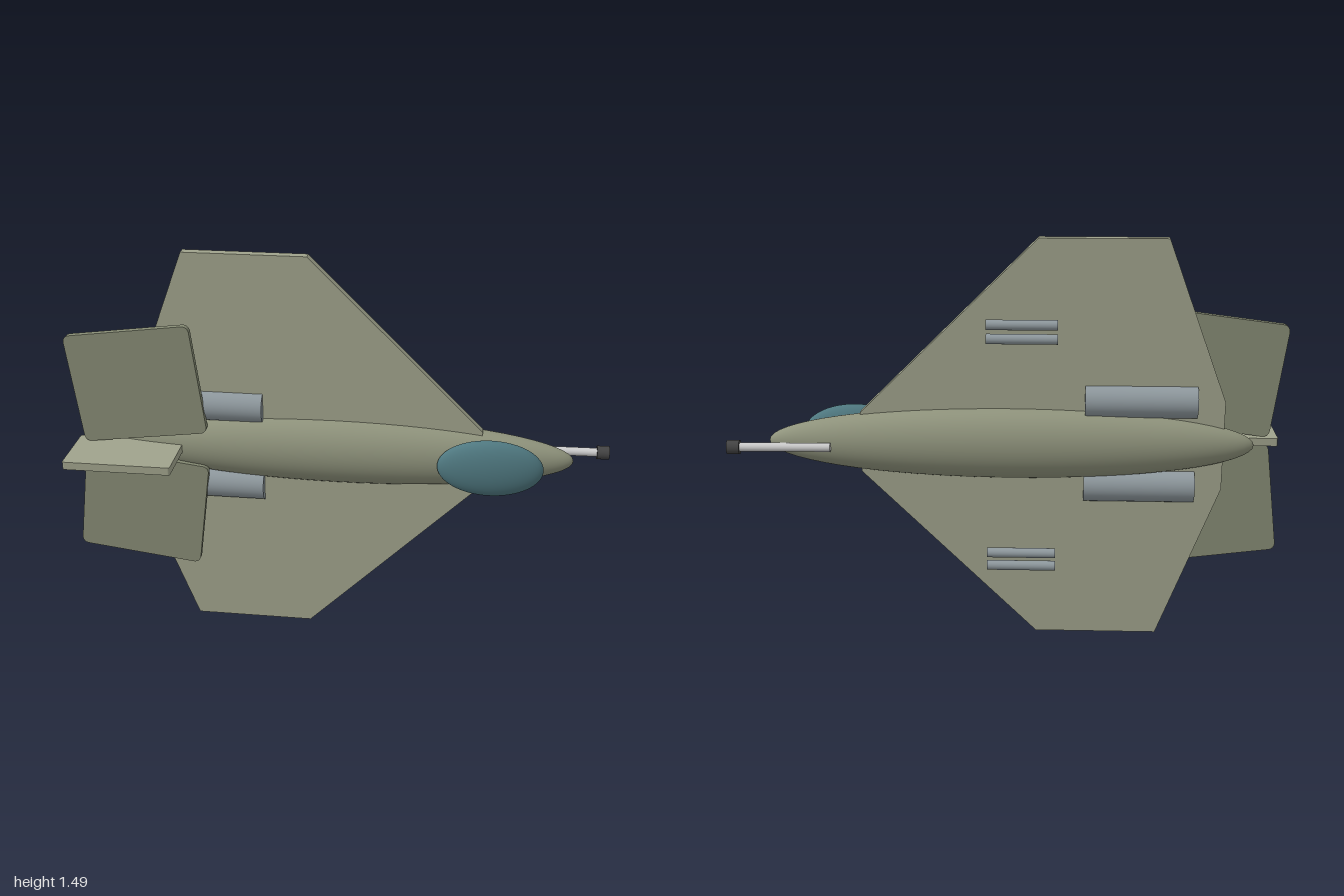
import * as THREE from 'three';

const MID = 0.75; // height of the aircraft's centre line
const paint = (color) => new THREE.MeshStandardMaterial({ color });
const body = paint(0x8f937c), wingPaint = paint(0xa0a38c), tailPaint = paint(0x868b74);
const glass = paint(0x4f7880), metal = paint(0x8f999e), steel = paint(0xcccccc), dark = paint(0x444444);

function part(name, geometry, material, x, y, z) {
  const mesh = new THREE.Mesh(geometry, material);
  mesh.name = name;
  mesh.position.set(x, y, z);
  return mesh;
}

// Sphere stretched to three radii
function ellipsoid(name, material, radii, x, y, z) {
  const mesh = part(name, new THREE.SphereGeometry(1, 48, 32).rotateZ(Math.PI / 2), material, x, y, z);
  mesh.scale.set(...radii);
  return mesh;
}

// Cylinder lying along x
const rod = (radius, length) => new THREE.CylinderGeometry(radius, radius, length, 32).rotateZ(-Math.PI / 2);

// Flat plate, centred through its thickness
function plate(shape, depth) {
  return new THREE.ExtrudeGeometry(shape, { depth, bevelEnabled: false, curveSegments: 6 }).translate(0, 0, -depth / 2);
}

function roundedRect(w, h, r) {
  const s = new THREE.Shape(), a = w / 2, b = h / 2;
  s.moveTo(-a + r, -b);
  s.absarc(a - r, -b + r, r, -Math.PI / 2, 0);
  s.absarc(a - r, b - r, r, 0, Math.PI / 2);
  s.absarc(-a + r, b - r, r, Math.PI / 2, Math.PI);
  s.absarc(-a + r, -b + r, r, Math.PI, Math.PI * 1.5);
  return s;
}

export function createModel() {
  const group = new THREE.Group();
  group.name = 'aircraft';

  group.add(ellipsoid('fuselage', body, [0.877, 0.131, 0.1], -0.012, MID, -0.08));
  group.add(ellipsoid('canopy', glass, [0.192, 0.109, 0.047], 0.563, MID, 0.017));

  // Wing: one clipped delta running through the fuselage
  const half = [[0.53, 0.112], [-0.11, 0.747], [-0.56, 0.747], [-0.78, 0.165]];
  const outline = [...half, ...half.map(([x, y]) => [x, -y]).reverse()];
  const wing = new THREE.Shape(outline.map(([x, y]) => new THREE.Vector2(x, y)));
  group.add(part('wing', plate(wing, 0.036), wingPaint, 0, 0.747, -0.07));

  // Upright fin
  const fin = plate(roundedRect(0.4, 0.235, 0.008), 0.03).rotateX(Math.PI / 2);
  group.add(part('fin', fin, wingPaint, -0.782, MID, 0.073));

  for (const side of [1, -1]) {
    const label = side > 0 ? 'upper' : 'lower';
    // Swept tailplane
    const tail = part(label + 'Tailplane', plate(roundedRect(0.472, 0.42, 0.025), 0.024), tailPaint,
      -0.743, MID + side * 0.25, -0.012);
    tail.rotation.z = side * 0.127;
    group.add(tail);
    // Engine pod
    group.add(part(label + 'Engine', rod(0.061, 0.4), metal, -0.48, MID + side * 0.16, -0.073));
    // Pair of missiles under the wing
    for (const offset of [0.403, 0.453]) {
      group.add(part(label + 'Missile', rod(0.018, 0.25), metal, -0.055, MID + side * offset, -0.152));
    }
  }

  // Nose gun, angled slightly down from the belly
  const gun = new THREE.Group();
  gun.name = 'noseGun';
  gun.position.set(0.63, MID, -0.158);
  gun.rotation.y = 0.026;
  gun.add(part('barrel', rod(0.016, 0.34), steel, 0.17, 0, 0));
  gun.add(part('muzzle', rod(0.025, 0.045), dark, 0.347, 0, 0));
  group.add(gun);

  return group;
}
